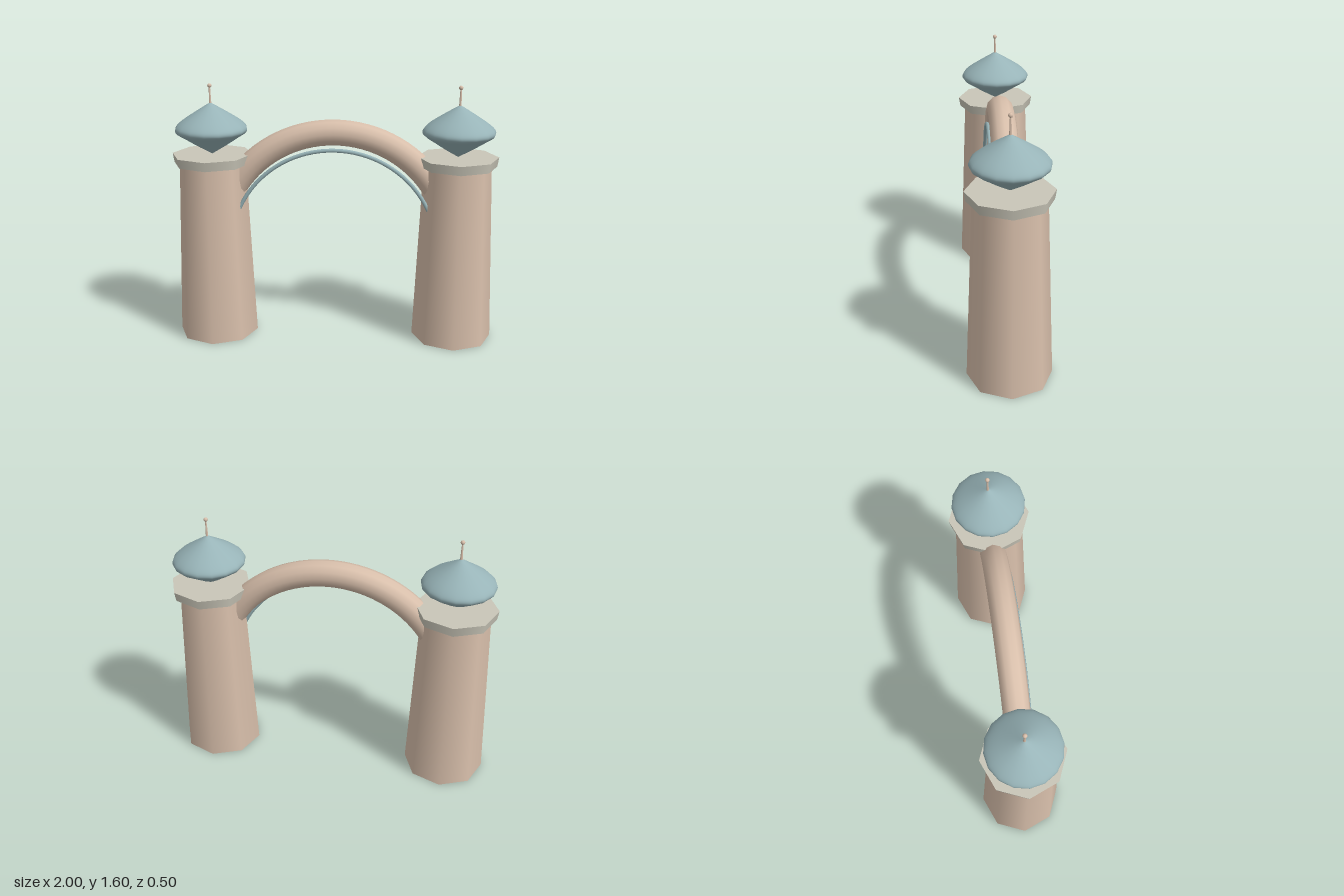
import * as THREE from 'three';

const material = (name, color) => {
  const m = new THREE.MeshStandardMaterial({ color });
  m.name = name;
  return m;
};

export function createModel() {
  const sandstone = material('sandstone', 0xd8bfab);
  const paleStone = material('pale stone', 0xc9c6b8);
  const blueGlaze = material('blue glaze', 0x98b4b8);

  const model = new THREE.Group();
  model.name = 'archGateway';

  const add = (parent, name, geometry, mat, x = 0, y = 0, z = 0) => {
    const mesh = new THREE.Mesh(geometry, mat);
    mesh.name = name;
    mesh.position.set(x, y, z);
    parent.add(mesh);
    return mesh;
  };

  // Onion dome outline, pointed at both ends
  const domeCurve = new THREE.SplineCurve([
    [0, 1.17], [0.085, 1.22], [0.165, 1.272], [0.208, 1.3], [0.22, 1.322],
    [0.208, 1.347], [0.165, 1.383], [0.085, 1.435], [0, 1.487],
  ].map(([r, y]) => new THREE.Vector2(r, y)));
  const domeProfile = domeCurve.getPoints(24);
  domeProfile.forEach((p) => { p.x = Math.max(p.x, 0); });

  // Two octagonal towers with caps, domes and finials
  for (const side of [-1, 1]) {
    const tower = new THREE.Group();
    tower.name = side > 0 ? 'leftTower' : 'rightTower';
    tower.position.x = side * 0.75;
    add(tower, 'shaft', new THREE.CylinderGeometry(0.205, 0.25, 1.12, 8), sandstone, 0, 0.56);
    add(tower, 'cap', new THREE.CylinderGeometry(0.247, 0.238, 0.057, 8), paleStone, 0, 1.1415);
    add(tower, 'dome', new THREE.LatheGeometry(domeProfile, 16), blueGlaze);
    add(tower, 'finialRod', new THREE.CylinderGeometry(0.004, 0.008, 0.12, 8), sandstone, 0, 1.53);
    add(tower, 'finialBall', new THREE.SphereGeometry(0.013, 12, 8), sandstone, 0, 1.588);
    model.add(tower);
  }

  // Round arch whose ends run into the towers
  add(model, 'arch', new THREE.TorusGeometry(0.73, 0.08, 12, 48, Math.PI), sandstone, 0, 0.58);

  // Thin trim along the front of the arch's underside
  add(model, 'archTrim', new THREE.TorusGeometry(0.637, 0.012, 8, 48, Math.PI), blueGlaze, 0, 0.58, 0.08);

  return model;
}
